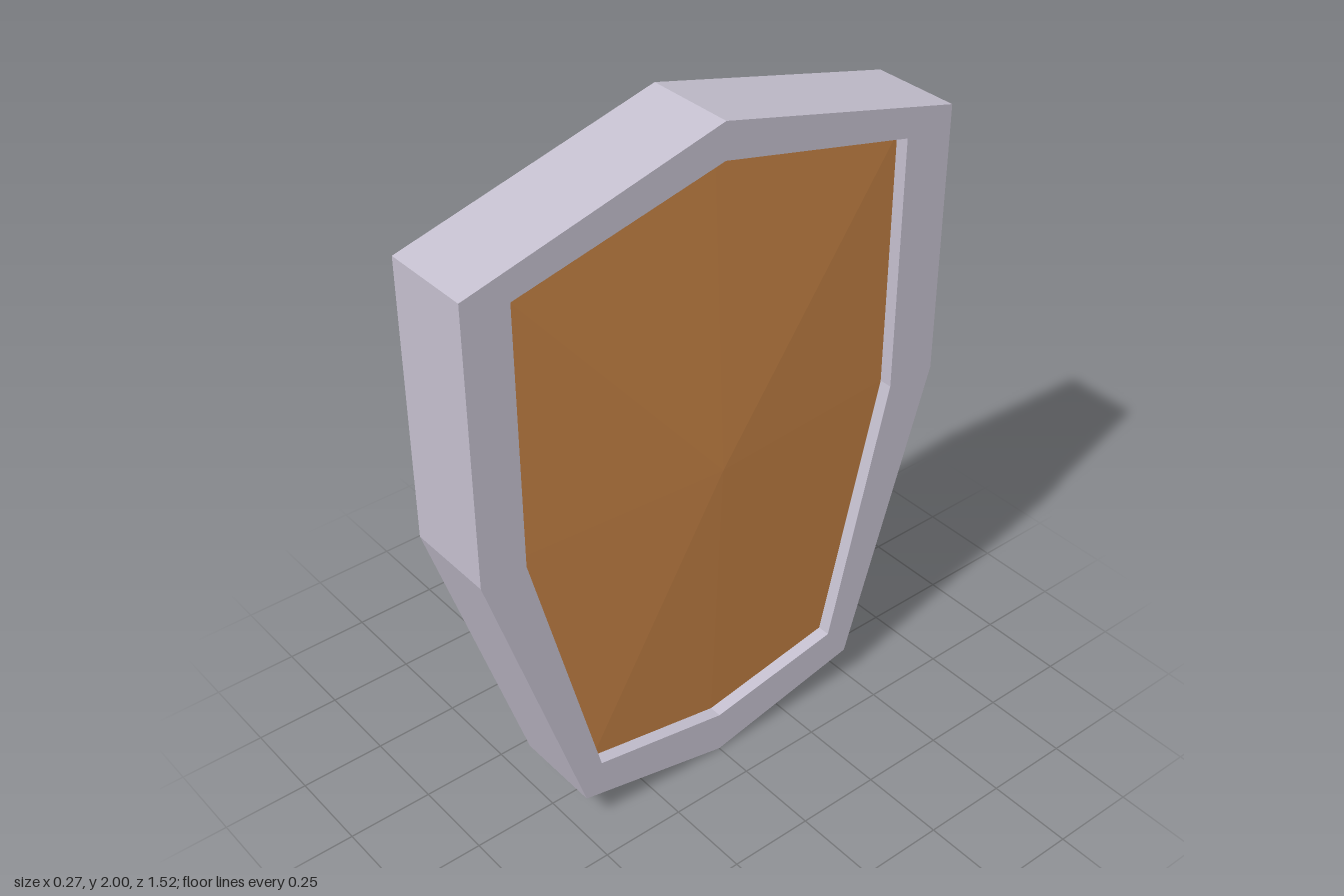
import * as THREE from 'three';

// Outlines as seen from +x, counter-clockwise: [across (= -z), height]
const OUTER = [[0, 2], [-0.76, 1.805], [-0.76, 1], [-0.475, 0.105], [0, 0], [0.485, 0.105], [0.76, 1], [0.76, 1.805]];
const INNER = [[0, 1.897], [-0.625, 1.755], [-0.625, 1], [-0.42, 0.205], [0, 0.13], [0.415, 0.205], [0.605, 1], [0.605, 1.758]];

const toPoints = (list) => list.map(([u, y]) => new THREE.Vector2(u, y));

// Thick rim with an open middle, extruded along x
function rimGeometry(back, front) {
  const shape = new THREE.Shape(toPoints(OUTER));
  shape.holes.push(new THREE.Path(toPoints(INNER)));
  const geometry = new THREE.ExtrudeGeometry(shape, { depth: front - back, bevelEnabled: false });
  return geometry.translate(0, 0, back).rotateY(Math.PI / 2);
}

// Shallow faceted dome: a fan from the outline up to a central point
function domeGeometry(edgeX, apexX) {
  const positions = [];
  const outward = apexX > 0;
  INNER.forEach(([u, y], i) => {
    const [u2, y2] = INNER[(i + 1) % INNER.length];
    const a = [edgeX, y, -u];
    const b = [edgeX, y2, -u2];
    positions.push(...(outward ? a : b), ...(outward ? b : a), apexX, 1, 0);
  });
  const geometry = new THREE.BufferGeometry();
  geometry.setAttribute('position', new THREE.Float32BufferAttribute(positions, 3));
  geometry.computeVertexNormals();
  return geometry;
}

export function createModel() {
  const model = new THREE.Group();
  model.name = 'shield';
  const metal = new THREE.MeshStandardMaterial({ color: 0xc4bfce, flatShading: true });
  const wood = new THREE.MeshStandardMaterial({ color: 0xc17f43, flatShading: true });

  const add = (name, geometry, material) => {
    const mesh = new THREE.Mesh(geometry, material);
    mesh.name = name;
    model.add(mesh);
  };

  add('rim', rimGeometry(-0.135, 0.13), metal);
  // Recessed wooden panels, one on each face
  add('frontPanel', domeGeometry(0.092, 0.134), wood);
  add('backPanel', domeGeometry(-0.088, -0.13), wood);
  return model;
}
